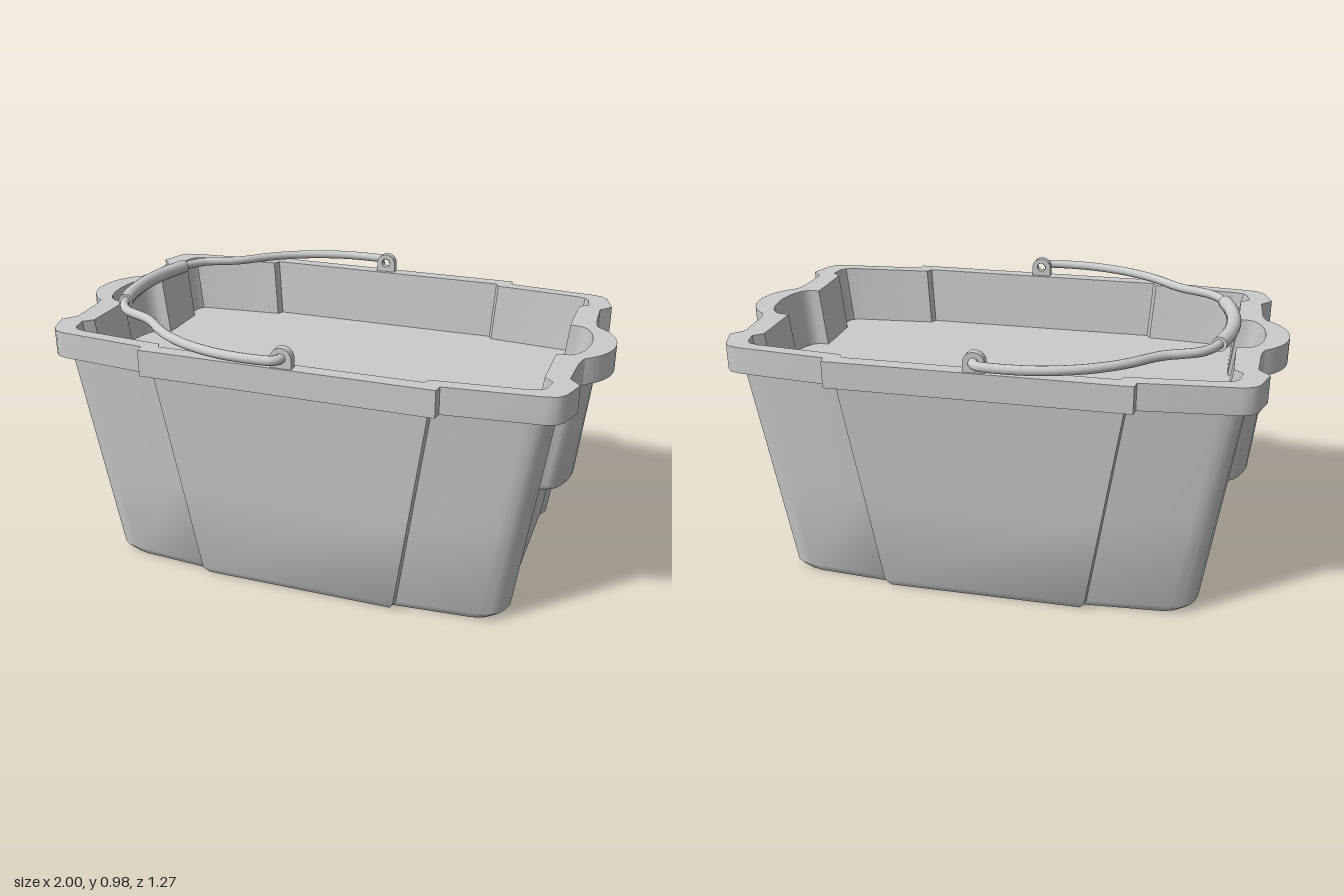
import * as THREE from 'three';
import { toCreasedNormals } from 'three/addons/utils/BufferGeometryUtils.js';

const material = new THREE.MeshStandardMaterial({ color: 0xcccccc });

// Quarter outlines run from the long side (+z) round to the end (+x, z = 0).
// Each ends in a bulge: an elliptic arc about x0, from the start angle out to (x1, 0).
function bulge(x0, x1, w, start = 0, n = 7) {
  return Array.from({ length: n + 1 }, (_, i) => {
    const a = start + (i / n) * (Math.PI / 2 - start);
    return [x0 + (x1 - x0) * Math.sin(a), w * Math.cos(a)];
  });
}

const RIM_OUTER = [[0.52, 0.59], [0.525, 0.557], [0.85, 0.526], [0.885, 0.515], [0.907, 0.49],
  [0.935, 0.4], [0.897, 0.355], [0.903, 0.22], [0.908, 0.187], ...bulge(0.8, 1, 0.2, 0.62)];
const RIM_INNER = [[0.467, 0.537], [0.48, 0.512], [0.79, 0.484], [0.825, 0.474], [0.84, 0.455],
  [0.85, 0.4], [0.818, 0.37], [0.818, 0.2], [0.82, 0.15], ...bulge(0.85, 0.917, 0.148)];
const BODY_TOP = [[0.49, 0.555], [0.495, 0.53], [0.79, 0.503], [0.827, 0.495], [0.853, 0.475],
  [0.868, 0.44], [0.876, 0.39], [0.852, 0.362], [0.852, 0.165], ...bulge(0.87, 0.94, 0.158)];
const BODY_LOW = [[0.37, 0.497], [0.375, 0.475], [0.67, 0.455], [0.708, 0.445], [0.735, 0.425],
  [0.752, 0.395], [0.762, 0.355], [0.745, 0.335], [0.745, 0.145], ...bulge(0.765, 0.854, 0.137)];
const WALL = 8; // last outline point on the end wall, before the bulge

// Mirror a quarter outline into a full ring at height y
function ring(q, y, sx = 1, sz = 1) {
  const half = [...q, ...q.slice(0, -1).reverse().map(([x, z]) => [x, -z])];
  const full = [...half, ...half.map(([x, z]) => [-x, -z])];
  return full.map(([x, z]) => [x * sx, y, z * sz]);
}

// Body outline at height y; pocket scales the end bulge from 0 (flat wall) to 1
function bodyRing(y, pocket) {
  const t = (y - 0.03) / 0.79;
  const q = BODY_LOW.map(([x, z], i) => [x + (BODY_TOP[i][0] - x) * t, z + (BODY_TOP[i][1] - z) * t]);
  const wall = q[WALL][0];
  return ring(q.map(([x, z], i) => (i > WALL
    ? [wall + (x - wall) * pocket, z * (0.5 + 0.5 * pocket)] : [x, z])), y);
}

// Skin a stack of rings
function loft(rings) {
  const n = rings[0].length, index = [];
  for (let i = 0; i < rings.length - 1; i++) {
    for (let j = 0; j < n; j++) {
      const k = (j + 1) % n, a = i * n + j, b = i * n + k;
      index.push(a, b, b + n, a, b + n, a + n);
    }
  }
  const geo = new THREE.BufferGeometry();
  geo.setAttribute('position', new THREE.Float32BufferAttribute(rings.flat(2), 3));
  geo.setIndex(index);
  return toCreasedNormals(geo, 0.55);
}

// Flat lid filling a ring, facing up (dir 1) or down (dir -1)
function lid(points, dir) {
  const shape = new THREE.Shape(points.map(([x, , z]) => new THREE.Vector2(x, -dir * z)));
  return new THREE.ShapeGeometry(shape).rotateX(-dir * Math.PI / 2).translate(0, points[0][1], 0);
}

export function createModel() {
  const model = new THREE.Group();
  const add = (name, geo, parent = model) => {
    const mesh = new THREE.Mesh(geo, material);
    mesh.name = name;
    parent.add(mesh);
    return mesh;
  };

  // Tapered tub with chamfered end pockets and a chamfered foot
  const foot = bodyRing(0.03, 0).map(([x, , z]) => [x * 0.955, 0, z * 0.96]);
  add('tubBody', loft([foot, bodyRing(0.03, 0), bodyRing(0.39, 0),
    bodyRing(0.39, 0.91), bodyRing(0.406, 1), bodyRing(0.82, 1)]));
  add('tubBase', lid(foot, -1));

  // Rim band with the inner wall, down to the inner floor
  const floor = ring(RIM_INNER, 0.69, 0.968, 0.982);
  add('rim', loft([ring(RIM_INNER, 0.815), ring(RIM_OUTER, 0.815), ring(RIM_OUTER, 0.91),
    ring(RIM_INNER, 0.91), floor]));
  add('innerFloor', lid(floor, 1));

  // Handle ears on the long sides
  const ear = new THREE.Shape();
  ear.moveTo(-0.037, 0.9);
  ear.lineTo(0.037, 0.9);
  ear.lineTo(0.037, 0.943);
  ear.absarc(0, 0.943, 0.037, 0, Math.PI);
  ear.closePath();
  const hole = new THREE.Path();
  hole.absarc(0, 0.945, 0.017, 0, Math.PI * 2, true);
  ear.holes.push(hole);
  for (const s of [1, -1]) {
    const geo = new THREE.ExtrudeGeometry(ear, { depth: 0.03, bevelEnabled: false, curveSegments: 16 });
    add(s > 0 ? 'frontEar' : 'backEar', geo.translate(0, 0, s * 0.568 - 0.015));
  }

  // Bent wire handle, folded towards the -x end
  const handle = new THREE.Group();
  handle.name = 'handle';
  model.add(handle);
  const curve = (pts) => new THREE.CatmullRomCurve3(pts.map(([x, z]) => new THREE.Vector3(x, 0.945, z)));
  const wire = [[0, 0.55], [0, 0.59], [-0.015, 0.609], [-0.05, 0.616], [-0.2, 0.611], [-0.34, 0.57],
    [-0.44, 0.515], [-0.5, 0.467], [-0.56, 0.408], [-0.6, 0.378], [-0.65, 0.355], [-0.705, 0.325],
    [-0.745, 0.275], [-0.765, 0.225]];
  for (const s of [1, -1]) {
    const path = curve(wire.map(([x, z]) => [x, s * z]));
    add(s > 0 ? 'frontWire' : 'backWire', new THREE.TubeGeometry(path, 72, 0.0165, 14), handle);
  }

  // Thicker grip with closed ends
  const gripPath = curve([[-0.763, 0.236], [-0.79, 0.13], [-0.802, 0], [-0.79, -0.13], [-0.763, -0.236]]);
  add('grip', new THREE.TubeGeometry(gripPath, 40, 0.026, 18), handle);
  for (const t of [0, 1]) {
    const cap = add('gripEnd', new THREE.CircleGeometry(0.026, 18), handle);
    cap.position.copy(gripPath.getPoint(t));
    const out = gripPath.getTangent(t).multiplyScalar(t ? 1 : -1);
    cap.quaternion.setFromUnitVectors(new THREE.Vector3(0, 0, 1), out);
  }
  return model;
}
